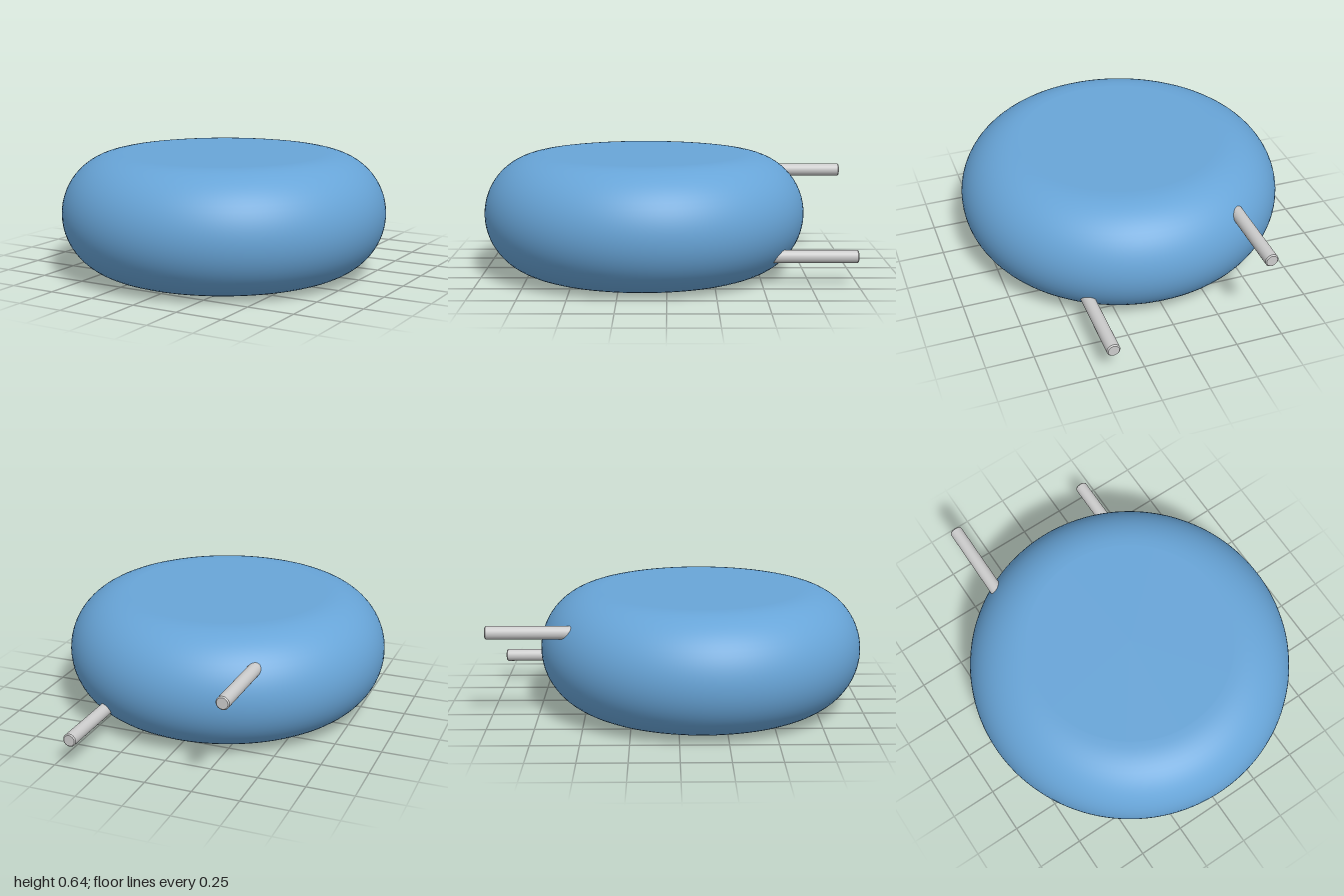
import * as THREE from 'three';

const RADIUS = 0.875, HEIGHT = 0.645, CENTRE_Z = 0.125;

// Round pillow-shaped disc: flat faces joined by a half-round rim
function makeBody() {
  const r = HEIGHT / 2, flat = RADIUS - r, steps = 32;
  const points = [new THREE.Vector2(0, 0), new THREE.Vector2(flat * 0.99, 0)];
  for (let i = 0; i <= steps; i++) {
    const a = -Math.PI / 2 + (Math.PI * i) / steps;
    points.push(new THREE.Vector2(flat + r * Math.cos(a), r + r * Math.sin(a)));
  }
  points.push(new THREE.Vector2(flat * 0.99, HEIGHT), new THREE.Vector2(0, HEIGHT));
  const body = new THREE.Mesh(
    new THREE.LatheGeometry(points, 128),
    new THREE.MeshStandardMaterial({ color: 0x68a5d8 })
  );
  body.name = 'body';
  body.position.z = CENTRE_Z;
  return body;
}

// Straight round pin running from inside the body out to the back
function makePin(name, x, y, material) {
  const r = 0.035, zIn = -0.5, zOut = -1, bevel = 0.006;
  const group = new THREE.Group();
  group.name = name;
  const addSection = (part, rOut, rIn, z0, z1, open) => {
    const geo = new THREE.CylinderGeometry(rIn, rOut, z1 - z0, 32, 1, open);
    geo.rotateX(Math.PI / 2);
    const mesh = new THREE.Mesh(geo, material);
    mesh.name = part;
    mesh.position.set(x, y, (z0 + z1) / 2);
    group.add(mesh);
  };
  addSection('pinShaft', r, r, zOut + bevel, zIn, false);
  addSection('pinTip', r - bevel, r, zOut, zOut + bevel, false);
  return group;
}

export function createModel() {
  const model = new THREE.Group();
  model.name = 'roundBodyWithPins';
  const grey = new THREE.MeshStandardMaterial({ color: 0xcccccc });
  model.add(
    makeBody(),
    makePin('upperRightPin', -0.41, 0.495, grey),
    makePin('lowerLeftPin', 0.41, 0.152, grey)
  );
  return model;
}
